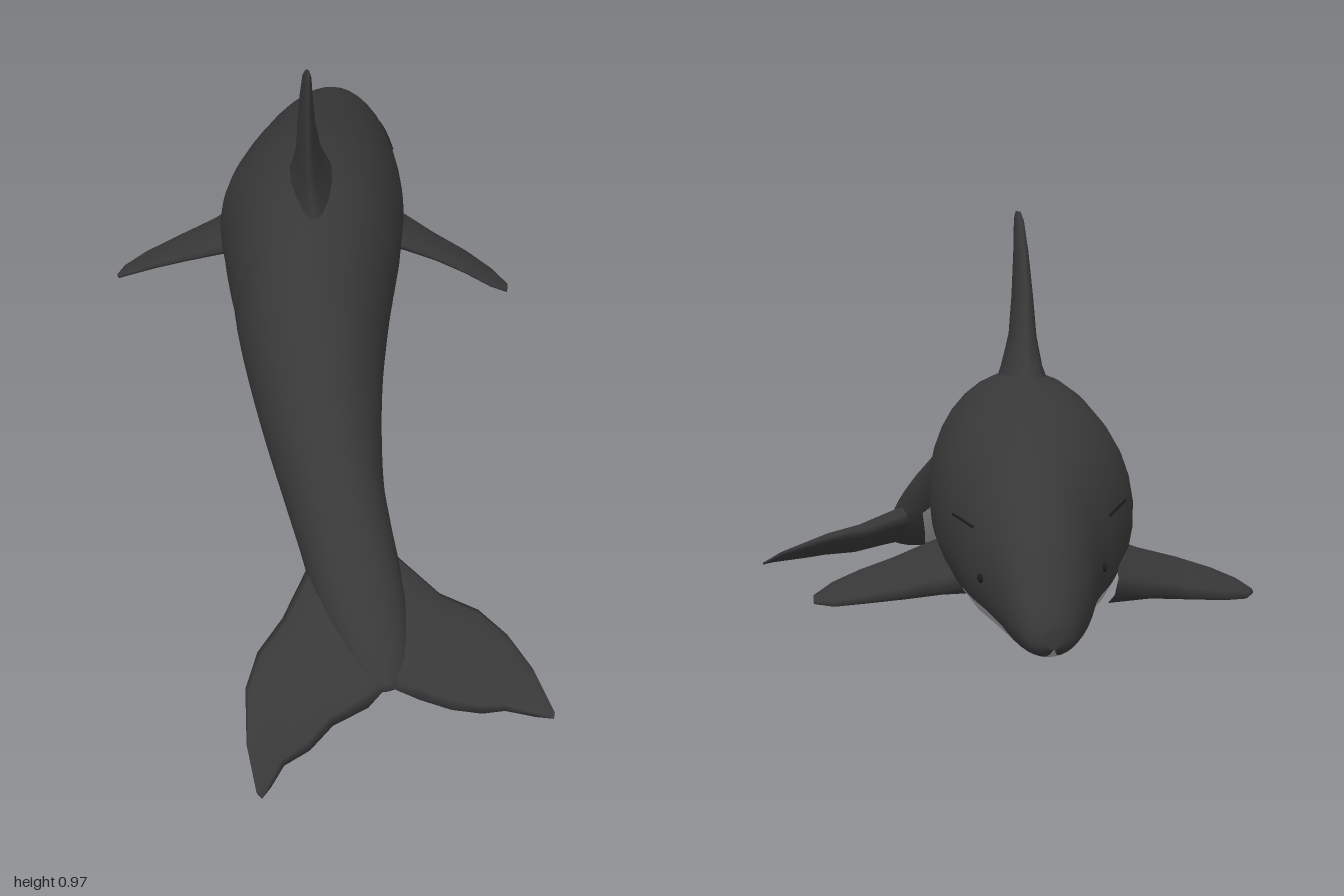
import * as THREE from 'three';

const black = new THREE.MeshStandardMaterial({ color: 0x383838 });
const pale = new THREE.MeshStandardMaterial({ color: 0xa8a8a8 });
const dark = new THREE.MeshStandardMaterial({ color: 0x1c1c1c });

// Body stations from nose to tail: z, centre x, half width, top y, bottom y
const stations = [
  [-1, 0.235, 0.018, 0.28, 0.245], [-0.985, 0.232, 0.047, 0.315, 0.23], [-0.95, 0.22, 0.07, 0.365, 0.22],
  [-0.9, 0.202, 0.094, 0.43, 0.215], [-0.8, 0.172, 0.128, 0.513, 0.213], [-0.7, 0.132, 0.17, 0.56, 0.212],
  [-0.5, 0.055, 0.217, 0.625, 0.215], [-0.36, 0.02, 0.215, 0.655, 0.225], [-0.2, -0.022, 0.198, 0.65, 0.24],
  [0, -0.078, 0.168, 0.59, 0.235], [0.2, -0.121, 0.136, 0.505, 0.205], [0.4, -0.149, 0.108, 0.4, 0.16],
  [0.5, -0.155, 0.1, 0.345, 0.13], [0.6, -0.16, 0.096, 0.288, 0.1], [0.7, -0.16, 0.082, 0.215, 0.075],
  [0.8, -0.16, 0.05, 0.125, 0.06], [0.83, -0.16, 0.02, 0.092, 0.07],
];

// Half angle of the pale underside, measured from straight down: z, angle
const markings = [
  [-1, 0.1], [-0.96, 0.4], [-0.88, 1.15], [-0.65, 1.2], [-0.58, 0.75], [-0.4, 0.45], [-0.25, 0.5],
  [-0.13, 0.75], [-0.09, 1.33], [0.2, 1.25], [0.42, 1.25], [0.47, 0.85], [0.6, 0.35], [0.66, 0.04], [0.83, 0.02],
];

// Value of a table column at z, as a smooth or straight curve through its rows
function sample(table, z, col, smooth) {
  const n = table.length;
  let i = 0;
  while (i < n - 2 && z > table[i + 1][0]) i++;
  const h = table[i + 1][0] - table[i][0], u = (z - table[i][0]) / h;
  const a = table[i][col], b = table[i + 1][col];
  if (!smooth) return a + (b - a) * u;
  const slope = (k) => {
    const p = table[Math.max(k - 1, 0)], q = table[Math.min(k + 1, n - 1)];
    return (q[col] - p[col]) / (q[0] - p[0]);
  };
  const u2 = u * u, u3 = u2 * u;
  return (2 * u3 - 3 * u2 + 1) * a + (u3 - 2 * u2 + u) * h * slope(i)
    + (3 * u2 - 2 * u3) * b + (u3 - u2) * h * slope(i + 1);
}

// Point on the skin; the angle runs from straight down towards +x
function skin(z, angle) {
  const [cx, w, top, bottom] = [1, 2, 3, 4].map((c) => sample(stations, z, c, true));
  const mid = bottom + 0.42 * (top - bottom);
  const s = Math.sin(angle), c = Math.cos(angle);
  const y = c > 0 ? mid - (mid - bottom) * Math.pow(c, 0.85) : mid - (top - mid) * c;
  return [cx + w * s, y, z];
}

function geometryFrom(points, index) {
  const g = new THREE.BufferGeometry();
  g.setAttribute('position', new THREE.Float32BufferAttribute(points, 3));
  g.setIndex(index);
  g.computeVertexNormals();
  return g;
}

function named(name, geometry, material) {
  const m = new THREE.Mesh(geometry, material);
  m.name = name;
  return m;
}

// Body skin, divided into dark back and pale underside with shared normals
function makeBody() {
  const rings = 64, under = 10, around = 34;
  const points = [], back = [], belly = [];
  for (let i = 0; i <= rings; i++) {
    const z = -1 + 1.83 * Math.pow(i / rings, 1.5);
    const a = sample(markings, z, 1, false);
    for (let j = 0; j < around; j++) {
      const angle = j < under ? -a + (2 * a * j) / under
        : a + ((2 * Math.PI - 2 * a) * (j - under)) / (around - under);
      points.push(...skin(z, angle));
    }
  }
  for (let i = 0; i < rings; i++) {
    for (let j = 0; j < around; j++) {
      const p = i * around + j, q = i * around + ((j + 1) % around);
      (j < under ? belly : back).push(p, q, p + around, q, q + around, p + around);
    }
  }
  // End caps
  const last = rings * around;
  for (let j = 1; j < around - 1; j++) {
    back.push(0, j + 1, j, last, last + j, last + j + 1);
  }
  const whole = geometryFrom(points, [...back, ...belly]);
  const part = (index) => {
    const g = whole.clone();
    g.setIndex(index);
    return g;
  };
  return [named('back', part(back), black), named('belly', part(belly), pale)];
}

// Fin lofted through sections: [leading point, trailing point, half thickness]
function makeFin(name, sections, thickDir) {
  const n = 12, points = [], index = [];
  const T = new THREE.Vector3(...thickDir).normalize();
  for (const [lead, trail, thick] of sections) {
    const L = new THREE.Vector3(...lead), R = new THREE.Vector3(...trail);
    for (let j = 0; j < n; j++) {
      const a = (2 * Math.PI * j) / n;
      const u = (1 - Math.cos(a)) / 2;
      const p = L.clone().lerp(R, u).addScaledVector(T, Math.sin(a) * thick * (1.15 - 0.5 * u));
      points.push(p.x, p.y, p.z);
    }
  }
  // Wind the faces outwards whichever way the fin points
  const first = sections[0], end = sections[sections.length - 1];
  const chord = new THREE.Vector3(...first[1]).sub(new THREE.Vector3(...first[0]));
  const span = new THREE.Vector3(...end[0]).sub(new THREE.Vector3(...first[0]));
  const flip = chord.cross(T).dot(span) < 0;
  const tri = (a, b, c) => (flip ? index.push(a, c, b) : index.push(a, b, c));
  for (let i = 0; i < sections.length - 1; i++) {
    for (let j = 0; j < n; j++) {
      const p = i * n + j, q = i * n + ((j + 1) % n);
      tri(p, p + n, q);
      tri(q, p + n, q + n);
    }
  }
  const last = (sections.length - 1) * n;
  for (let j = 1; j < n - 1; j++) tri(last, last + j + 1, last + j);
  return named(name, geometryFrom(points, index), black);
}

// Tail fluke outlines: leading x, z, trailing x, z, droop, half thickness
function makeFluke(name, rows) {
  const height = (z, droop) => Math.max(0.008, 0.185 - 0.42 * (z - 0.58) - droop);
  return makeFin(name, rows.map(([lx, lz, tx, tz, droop, thick]) =>
    [[lx, height(lz, droop), lz], [tx, height(tz, droop), tz], thick]), [0, 1, 0.42]);
}

export function createModel() {
  const model = new THREE.Group();
  model.name = 'whale';
  model.add(...makeBody());

  model.add(makeFin('dorsalFin', [
    [[0.02, 0.6, -0.39], [-0.055, 0.58, -0.08], 0.075],
    [[0.0, 0.675, -0.32], [-0.052, 0.645, -0.105], 0.045],
    [[-0.015, 0.73, -0.28], [-0.058, 0.72, -0.112], 0.03],
    [[-0.03, 0.81, -0.243], [-0.06, 0.8, -0.11], 0.022],
    [[-0.042, 0.9, -0.2], [-0.06, 0.9, -0.112], 0.015],
    [[-0.05, 0.96, -0.165], [-0.058, 0.965, -0.114], 0.01],
    [[-0.054, 0.98, -0.145], [-0.057, 0.98, -0.12], 0.005],
  ], [1, 0, 0.25]));

  // Flippers, pitched with the leading edge down
  model.add(makeFin('leftFlipper', [
    [[0.2, 0.29, -0.62], [0.17, 0.345, -0.37], 0.05],
    [[0.29, 0.27, -0.55], [0.24, 0.325, -0.36], 0.034],
    [[0.345, 0.25, -0.495], [0.31, 0.295, -0.335], 0.024],
    [[0.41, 0.23, -0.43], [0.37, 0.268, -0.3], 0.017],
    [[0.455, 0.213, -0.37], [0.42, 0.24, -0.27], 0.011],
    [[0.476, 0.207, -0.31], [0.462, 0.215, -0.27], 0.005],
  ], [0.35, 1, -0.3]));

  model.add(makeFin('rightFlipper', [
    [[-0.02, 0.27, -0.72], [-0.09, 0.33, -0.46], 0.05],
    [[-0.13, 0.255, -0.68], [-0.17, 0.305, -0.49], 0.034],
    [[-0.22, 0.238, -0.667], [-0.25, 0.285, -0.51], 0.024],
    [[-0.31, 0.222, -0.648], [-0.32, 0.262, -0.533], 0.017],
    [[-0.37, 0.213, -0.622], [-0.37, 0.24, -0.553], 0.011],
    [[-0.396, 0.214, -0.592], [-0.395, 0.222, -0.572], 0.005],
  ], [-0.3, 1, -0.3]));

  model.add(makeFluke('rightFluke', [
    [-0.12, 0.45, -0.15, 0.82, 0, 0.045], [-0.25, 0.54, -0.21, 0.855, 0.01, 0.036],
    [-0.33, 0.63, -0.29, 0.87, 0.02, 0.028], [-0.4, 0.69, -0.35, 0.91, 0.02, 0.02],
    [-0.445, 0.76, -0.41, 0.93, 0.02, 0.014], [-0.475, 0.88, -0.45, 0.975, 0.01, 0.008],
    [-0.483, 0.985, -0.475, 1.0, 0, 0.003],
  ]));
  model.add(makeFluke('leftFluke', [
    [-0.2, 0.45, -0.17, 0.82, 0, 0.045], [-0.065, 0.54, -0.1, 0.86, 0.01, 0.036],
    [0.01, 0.64, -0.04, 0.885, 0.02, 0.028], [0.08, 0.69, 0.02, 0.905, 0.02, 0.02],
    [0.125, 0.75, 0.07, 0.905, 0.025, 0.014], [0.155, 0.83, 0.13, 0.93, 0.025, 0.008],
    [0.172, 0.925, 0.165, 0.94, 0.03, 0.003],
  ]));

  // Eyes and the narrow creases above them, on both sides
  for (const side of [1, -1]) {
    const label = side > 0 ? 'left' : 'right';
    const eye = named(label + 'Eye', new THREE.SphereGeometry(0.012, 10, 8), dark);
    eye.scale.set(0.4, 0.8, 1);
    eye.position.set(...skin(-0.79, side * 1.6));
    const path = [-0.73, -0.69, -0.65, -0.6].map((z) =>
      new THREE.Vector3(...skin(z, side * (1.86 - 1.08 * (z + 0.6)))));
    const crease = new THREE.TubeGeometry(new THREE.CatmullRomCurve3(path), 10, 0.003, 5);
    model.add(eye, named(label + 'BrowCrease', crease, dark));
  }
  return model;
}
